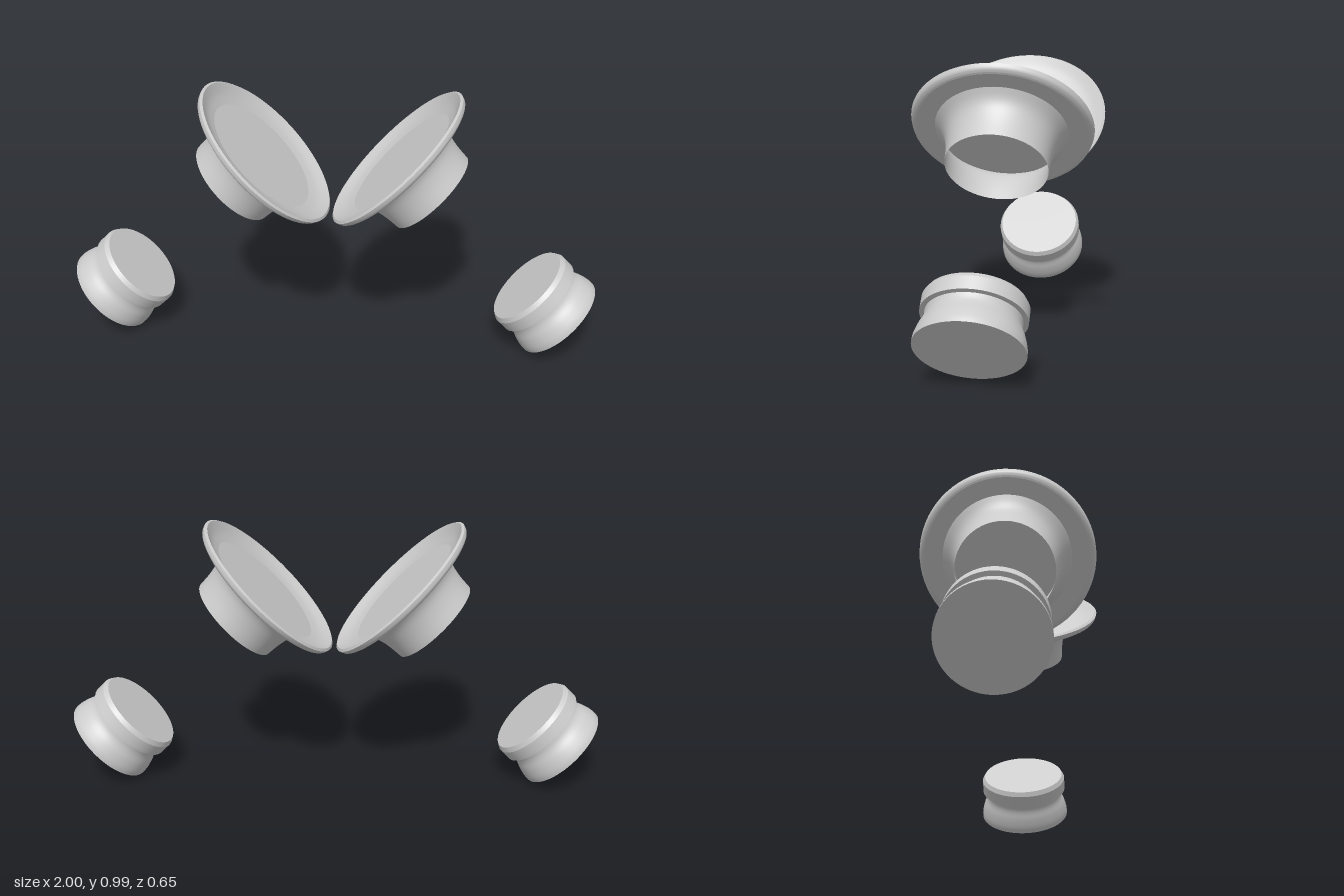
import * as THREE from 'three';

const grey = new THREE.MeshStandardMaterial({ color: 0xcccccc, side: THREE.DoubleSide });
grey.name = 'light grey';

// Turned part made of profile sections; each section is smooth, joints stay sharp.
function turned(name, sections) {
  const group = new THREE.Group();
  group.name = name;
  for (const [part, points] of Object.entries(sections)) {
    const profile = points.map(([r, h]) => new THREE.Vector2(r, h));
    const mesh = new THREE.Mesh(new THREE.LatheGeometry(profile, 72), grey);
    mesh.name = part;
    group.add(mesh);
  }
  return group;
}

// Sample a smooth curve through a few profile points.
function smooth(points, n = 14) {
  const curve = new THREE.SplineCurve(points.map(([r, h]) => new THREE.Vector2(r, h)));
  return curve.getPoints(n).map((p) => [p.x, p.y]);
}

// Flanged dish with a flared skirt, open underneath
function makeDish() {
  return turned('dish', {
    skirt: smooth([[0.18, 0.184], [0.184, 0.24], [0.194, 0.288], [0.211, 0.319], [0.237, 0.344]]),
    flangeUnderside: [[0.237, 0.344], [0.3, 0.344]],
    flangeStep: [[0.3, 0.344], [0.307, 0.346]],
    flangeEdge: smooth([[0.307, 0.346], [0.319, 0.354], [0.325, 0.371]], 6),
    rimTop: [[0.325, 0.371], [0.316, 0.377]],
    dishSlope: smooth([[0.316, 0.377], [0.275, 0.357], [0.235, 0.347]], 8),
    dishFloor: [[0.235, 0.347], [0, 0.347]],
  });
}

// Solid plug with a flared foot, a groove and a chamfered lip
function makePlug() {
  return turned('plug', {
    plugBase: [[0, -0.527], [0.18, -0.527]],
    flaredFoot: smooth([[0.18, -0.527], [0.179, -0.505], [0.17, -0.472], [0.16, -0.448], [0.156, -0.43], [0.157, -0.412]]),
    lipUnderside: [[0.157, -0.412], [0.173, -0.41]],
    lipSide: [[0.173, -0.41], [0.173, -0.363]],
    lipChamfer: [[0.173, -0.363], [0.163, -0.346]],
    plugTop: [[0.163, -0.346], [0, -0.346]],
  });
}

export function createModel() {
  const model = new THREE.Group();
  model.name = 'dishesAndPlugs';
  // Two mirrored pairs, each sharing an axis tilted by 45 degrees
  for (const side of [1, -1]) {
    const pair = new THREE.Group();
    pair.name = side > 0 ? 'leftPair' : 'rightPair';
    pair.add(makeDish(), makePlug());
    pair.position.set(side * 0.5, 0.5, 0);
    pair.rotation.z = side * Math.PI / 4;
    model.add(pair);
  }
  return model;
}
